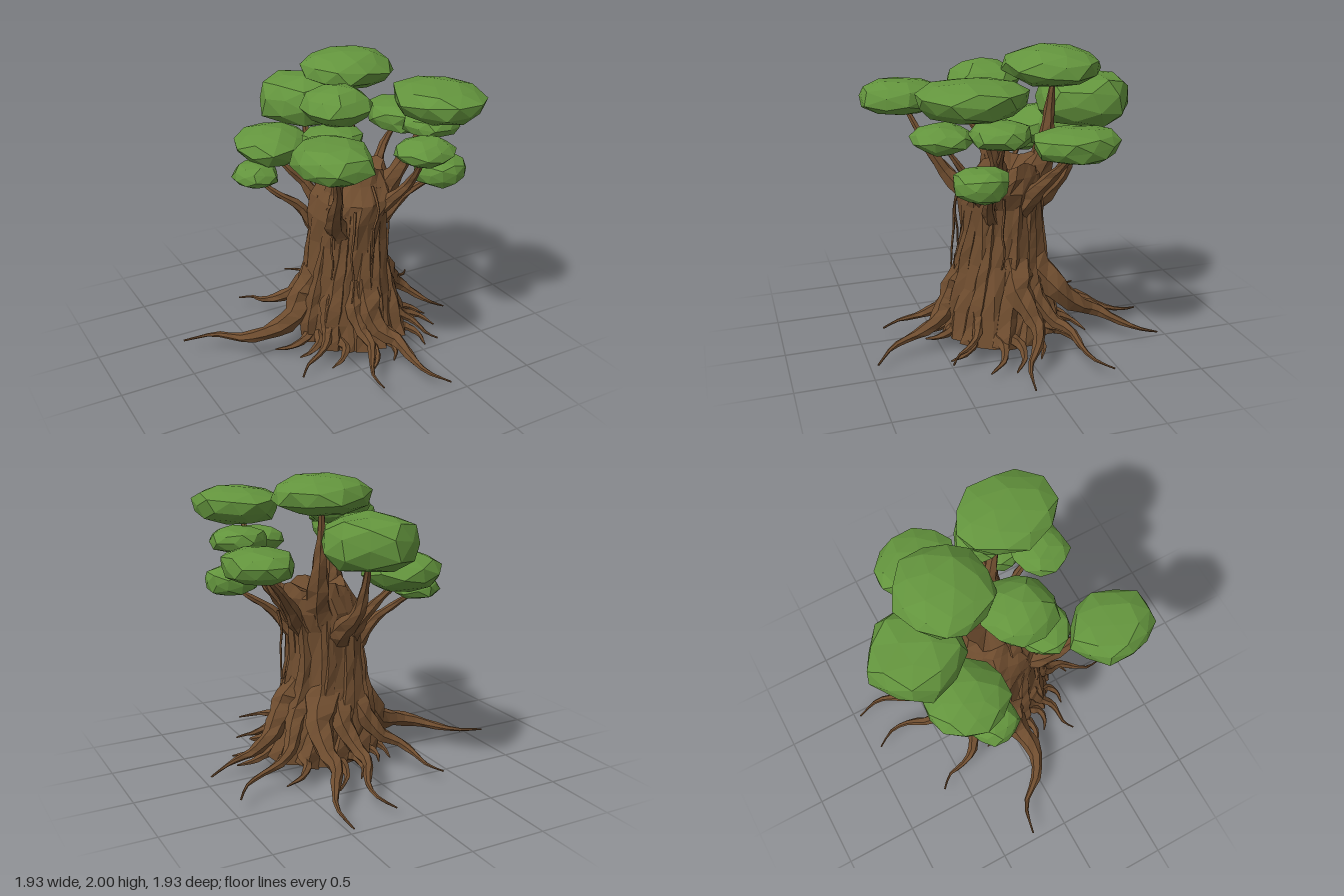
import * as THREE from 'three';

// The trunk is open underneath, so the bark shows from both sides
const bark = new THREE.MeshStandardMaterial({ color: 0x6f4d2f, flatShading: true, side: THREE.DoubleSide });
bark.name = 'bark brown';
const leaf = new THREE.MeshStandardMaterial({ color: 0x63943d, flatShading: true });
leaf.name = 'leaf green';

let seed;
const rand = () => (seed = (seed * 16807) % 2147483647) / 2147483647;

function add(group, name, geometry, material) {
  const mesh = new THREE.Mesh(geometry, material);
  mesh.name = name;
  group.add(mesh);
}

// Tapered tube through points; used for ridges, roots, branches and vines
function limb(points, r0, r1, sides = 6, power = 1) {
  const curve = new THREE.CatmullRomCurve3(points.map(p => new THREE.Vector3(...p)), false, 'centripetal');
  const seg = points.length * 2;
  const geo = new THREE.TubeGeometry(curve, seg, 1, sides);
  const pos = geo.attributes.position, v = new THREE.Vector3();
  for (let i = 0; i <= seg; i++) {
    const c = curve.getPointAt(i / seg);
    const r = r1 + (r0 - r1) * Math.pow(1 - i / seg, power);
    for (let j = 0; j <= sides; j++) {
      const k = i * (sides + 1) + j;
      v.fromBufferAttribute(pos, k).sub(c).multiplyScalar(r * (1 + 0.12 * Math.sin(i * 2.3 + (j % sides) * 1.9))).add(c);
      pos.setXYZ(k, v.x, v.y, v.z);
    }
  }
  return geo;
}

// Adds a sideways kink halfway along every stretch of a path
function kinked(points, amount) {
  const out = [points[0]];
  for (let i = 1; i < points.length; i++) {
    const a = points[i - 1], b = points[i], k = i % 2 ? amount : -amount;
    out.push([(a[0] + b[0]) / 2 - (b[2] - a[2]) * k, (a[1] + b[1]) / 2, (a[2] + b[2]) / 2 + (b[0] - a[0]) * k], b);
  }
  return out;
}

// Trunk sections: y, centre x, centre z, radius x, radius z
const RINGS = [
  [0.09, 0.17, 0.08, 0.36, 0.36], [0.27, 0.15, 0.07, 0.34, 0.34], [0.43, 0.14, 0.06, 0.31, 0.32],
  [0.6, 0.13, 0.06, 0.27, 0.29], [0.8, 0.13, 0.055, 0.25, 0.27], [0.98, 0.13, 0.06, 0.25, 0.27],
  [1.1, 0.17, 0.06, 0.26, 0.26], [1.2, 0.2, 0.03, 0.23, 0.2], [1.27, 0.21, 0.02, 0.2, 0.16],
];

function ringAt(y) {
  let i = 0;
  while (i < RINGS.length - 2 && y > RINGS[i + 1][0]) i++;
  const a = RINGS[i], b = RINGS[i + 1];
  const t = THREE.MathUtils.clamp((y - a[0]) / (b[0] - a[0]), 0, 1);
  return a.map((n, k) => n + (b[k] - n) * t);
}

// Point on the trunk skin at an angle (0 = front, positive = towards +x)
function skin(angle, y, scale = 1) {
  const [, cx, cz, rx, rz] = ringAt(y);
  return [cx + Math.sin(angle) * rx * scale, y, cz + Math.cos(angle) * rz * scale];
}

// Where a limb leaves the trunk: in line with its elbow, at another height
function socket([x, y, z], rise, scale) {
  const [, cx, cz] = ringAt(y + rise);
  return skin(Math.atan2(x - cx, z - cz), y + rise, scale);
}

// Open shell whose last row folds in to a shallow hollow at the top
function trunkGeometry() {
  const rows = RINGS.length;
  const geo = new THREE.CylinderGeometry(1, 1, 1, 22, rows, true);
  const pos = geo.attributes.position;
  for (let i = 0; i < pos.count; i++) {
    const row = Math.round((pos.getY(i) + 0.5) * rows), inner = row === rows;
    const a = Math.atan2(pos.getX(i), pos.getZ(i));
    const bump = 1 + 0.05 * Math.sin(7 * a + row * 0.5) + 0.04 * Math.sin(10 * a - row * 1.7);
    const p = skin(a, inner ? 1.27 : RINGS[row][0], inner ? 0.02 : bump);
    if (inner) p[1] = 1.19;
    if (row === rows - 1) p[1] += 0.025 * Math.sin(4 * a + 1);
    pos.setXYZ(i, ...p);
  }
  return geo;
}

// Faceted leaf cushion, blunt at the sides, filling the given radii exactly
function cushion([x, y, z], [rx, ry, rz], n) {
  const geo = new THREE.IcosahedronGeometry(1, 1);
  geo.rotateX(n * 1.3).rotateY(n * 2.1);
  const pos = geo.attributes.position, v = new THREE.Vector3();
  for (let i = 0; i < pos.count; i++) {
    v.fromBufferAttribute(pos, i);
    const k = 1 + 0.08 * Math.sin(v.x * 4 + n) * Math.cos(v.z * 5 - n) + 0.04 * Math.sin(v.y * 6 + n * 2);
    pos.setXYZ(i, v.x * k, Math.sign(v.y) * Math.pow(Math.abs(v.y), 0.85) * k, v.z * k);
  }
  geo.center();
  const half = geo.boundingBox.getSize(v).multiplyScalar(0.5);
  return geo.scale(rx / half.x, ry / half.y, rz / half.z).translate(x, y, z);
}

// Each cushion with its branch: centre, radii, branch elbow, branch radius
const CROWN = [
  [[0.29, 1.875, -0.235], [0.31, 0.125, 0.305], [0.29, 1.3, -0.18], 0.11],
  [[0.115, 1.61, -0.525], [0.305, 0.18, 0.32], [0.12, 1.13, -0.38], 0.09],
  [[0.595, 1.765, 0.37], [0.28, 0.12, 0.335], [0.46, 1.27, 0.18], 0.09],
  [[0.01, 1.755, 0.13], [0.23, 0.135, 0.24], [0.04, 1.28, 0.1], 0.09],
  [[-0.288, 1.61, 0.6], [0.235, 0.113, 0.277], [-0.13, 1.1, 0.35], 0.085],
  [[-0.1, 1.58, 0.25], [0.2, 0.08, 0.17], [0, 1.4, 0.17], 0.035],
  [[0.415, 1.5, 0.515], [0.2, 0.09, 0.185], [0.42, 1.2, 0.34], 0.06],
  [[0.655, 1.56, 0.225], [0.187, 0.08, 0.187], [0.56, 1.38, 0.2], 0.04],
  [[0.71, 1.48, -0.22], [0.22, 0.1, 0.27], [0.46, 1.16, -0.11], 0.085],
  [[-0.22, 1.375, -0.35], [0.26, 0.135, 0.26], [-0.03, 1.1, -0.24], 0.075],
  [[-0.39, 1.23, -0.25], [0.15, 0.08, 0.16], [-0.14, 1, -0.12], 0.06],
  [[0.66, 1.27, 0.35], [0.178, 0.095, 0.17], [0.45, 1.08, 0.24], 0.06],
];

// Main roots: elbow, bend, tip, radius
const ROOTS = [
  [[-0.27, 0.24, 0.02], [-0.62, 0.155, -0.03], [-0.97, 0.115, -0.25], 0.13],
  [[0.56, 0.3, -0.02], [0.7, 0.18, 0], [0.95, 0.02, 0.1], 0.13],
  [[0.15, 0.25, 0.46], [0.25, 0.15, 0.67], [0.4, 0.05, 0.96], 0.13],
  [[0.04, 0.26, 0.42], [-0.01, 0.15, 0.64], [-0.04, 0.08, 0.84], 0.1],
  [[0.35, 0.26, -0.4], [0.42, 0.14, -0.65], [0.46, 0.01, -0.96], 0.13],
  [[0.13, 0.25, -0.38], [0.2, 0.13, -0.66], [0.15, 0.06, -0.93], 0.1],
  [[-0.12, 0.25, -0.28], [-0.28, 0.14, -0.46], [-0.37, 0.08, -0.66], 0.1],
  [[0.5, 0.24, -0.18], [0.74, 0.15, -0.28], [0.95, 0.08, -0.42], 0.09],
  [[0.42, 0.22, 0.31], [0.52, 0.14, 0.4], [0.6, 0.08, 0.52], 0.09],
  [[-0.14, 0.22, 0.28], [-0.25, 0.12, 0.36], [-0.4, 0.03, 0.42], 0.09],
];

// Hanging vines: trunk angle, top height, bottom height
const VINES = [[-0.9, 1.1, 0.6], [1.3, 1.08, 0.6], [-0.45, 1.08, 0.45], [0.05, 1.2, 0.7]];

export function createModel() {
  seed = 7;
  const tree = new THREE.Group();
  tree.name = 'tree';
  add(tree, 'trunk', trunkGeometry(), bark);

  // Broad twisting bark ridges that swell towards the ground
  for (let i = 0; i < 11; i++) {
    const a = i * Math.PI * 2 / 11 + rand() * 0.25, top = 0.9 + rand() * 0.3;
    const path = [0.09, 0.3, 0.5, 0.7, top].map((y, k) => skin(a + k * 0.1, y, 0.9));
    add(tree, 'barkRidge', limb(path, 0.085, 0.025, 5), bark);
  }

  // Main roots flaring out of the trunk
  for (const [elbow, bend, tip, r] of ROOTS) {
    add(tree, 'root', limb(kinked([socket(elbow, 0.28, 0.68), elbow, bend, tip], 0.15), r, 0.006, 6, 1.5), bark);
  }

  // Small crooked rootlets around the base
  for (let i = 0; i < 14; i++) {
    const a = i * Math.PI / 7 + rand() * 0.3, reach = 1.2 + rand() * 0.5, drop = 0.02 + rand() * 0.06;
    const path = [[0.75, 0.18], [1.05, 0.13], [reach, drop]].map(([s, y], k) => {
      const p = skin(a + (k % 2) * 0.15, 0.1, s);
      return [p[0], y, p[2]];
    });
    add(tree, 'rootlet', limb(kinked(path, 0.2), 0.05, 0.005, 5), bark);
  }

  // Branches, each ending inside its cushion
  CROWN.forEach(([centre, radii, elbow, r], i) => {
    const end = [centre[0], centre[1] - radii[1] * 0.4, centre[2]];
    add(tree, 'branch', limb(kinked([socket(elbow, -0.23, 0.65), elbow, end], 0.1), r, 0.014, 6, 1.35), bark);
    add(tree, 'foliage', cushion(centre, radii, i + 1), leaf);
  });

  VINES.forEach(([a, top, bottom]) => {
    const path = [0, 0.25, 0.5, 0.75, 1].map((t, k) => skin(a + 0.05 * (k % 2), top + (bottom - top) * t, 1.08 + 0.1 * Math.sin(Math.PI * t)));
    add(tree, 'vine', limb(path, 0.011, 0.006, 4), bark);
  });
  return tree;
}
